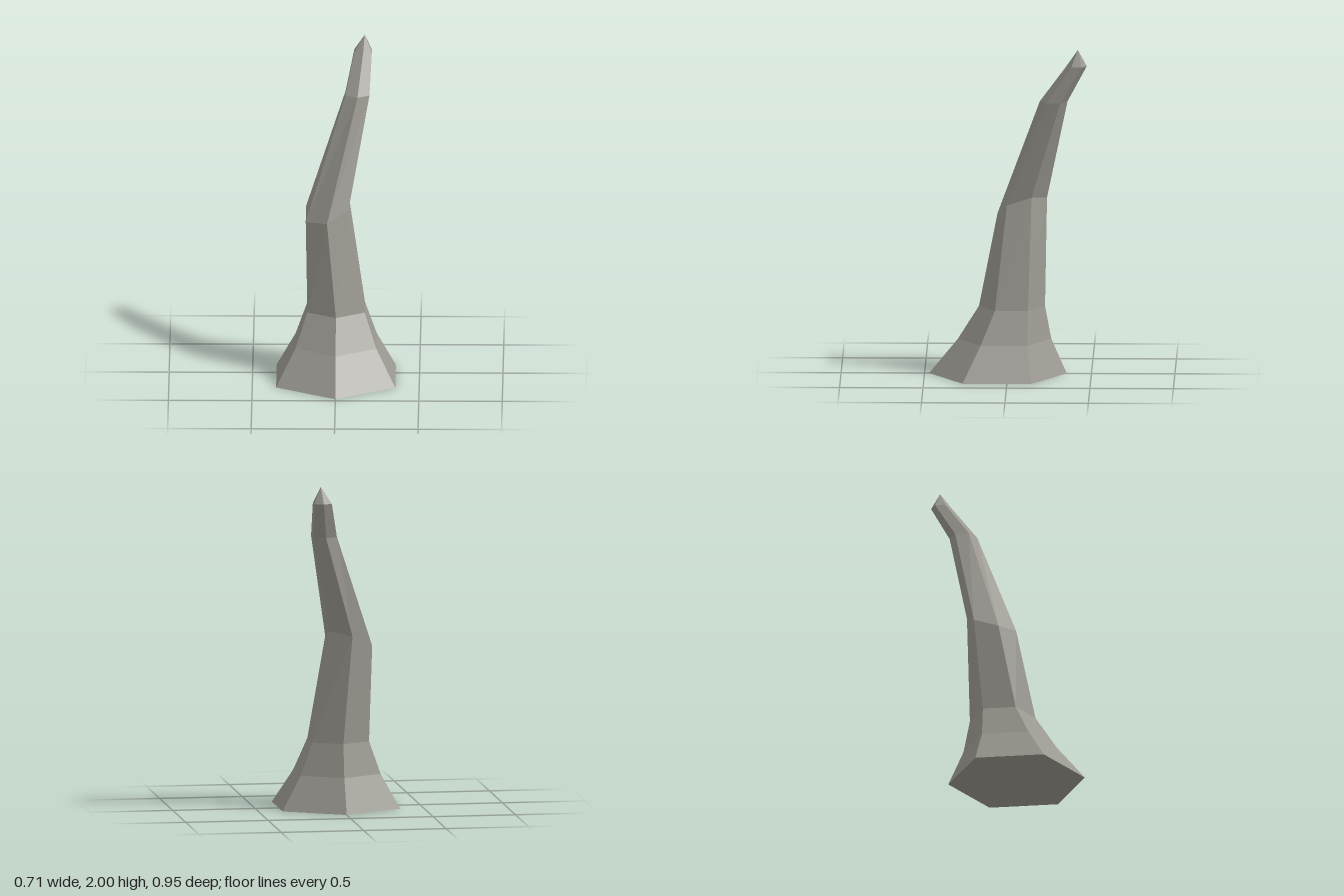
import * as THREE from 'three';

// Hexagonal rings from base to tip: centre, radius, and for the bend
// the slope of y along x and z, and the skew of z along x
const RINGS = [
  { c: [0, 0, 0.06], r: 0.412 },
  { c: [0, 0.21, 0.02], r: 0.28 },
  { c: [0, 0.41, -0.024], r: 0.198 },
  { c: [-0.054, 1.015, -0.085], r: 0.148, yx: 0.34, yz: -0.32, zx: 0.13 },
  { c: [0.126, 1.68, -0.276], r: 0.083 },
  { c: [0.158, 1.9, -0.414], r: 0.061 },
];
const TIP = [0.168, 2, -0.422];
const SIDES = 6;

function ringPoints({ c, r, yx = 0, yz = 0, zx = 0 }) {
  return Array.from({ length: SIDES }, (_, i) => {
    const a = (i / SIDES) * Math.PI * 2;
    const x = Math.sin(a) * r, z = Math.cos(a) * r;
    return [c[0] + x, c[1] + x * yx + z * yz, c[2] + z + x * zx];
  });
}

export function createModel() {
  const stone = new THREE.MeshStandardMaterial({ color: 0x9c9a92, flatShading: true });
  const rings = RINGS.map(ringPoints);
  const pos = [];
  const tri = (...pts) => pts.forEach((p) => pos.push(...p));

  for (let i = 0; i < SIDES; i++) {
    const j = (i + 1) % SIDES;
    // sides
    for (let k = 0; k < rings.length - 1; k++) {
      const lo = rings[k], hi = rings[k + 1];
      tri(lo[i], lo[j], hi[j]);
      tri(lo[i], hi[j], hi[i]);
    }
    // pointed tip and flat base
    const top = rings[rings.length - 1];
    tri(top[i], top[j], TIP);
    tri(rings[0][j], rings[0][i], RINGS[0].c);
  }

  const geometry = new THREE.BufferGeometry();
  geometry.setAttribute('position', new THREE.Float32BufferAttribute(pos, 3));
  geometry.computeVertexNormals();

  const spike = new THREE.Mesh(geometry, stone);
  spike.name = 'bentSpike';
  const group = new THREE.Group();
  group.name = 'hornSpike';
  group.add(spike);
  return group;
}
